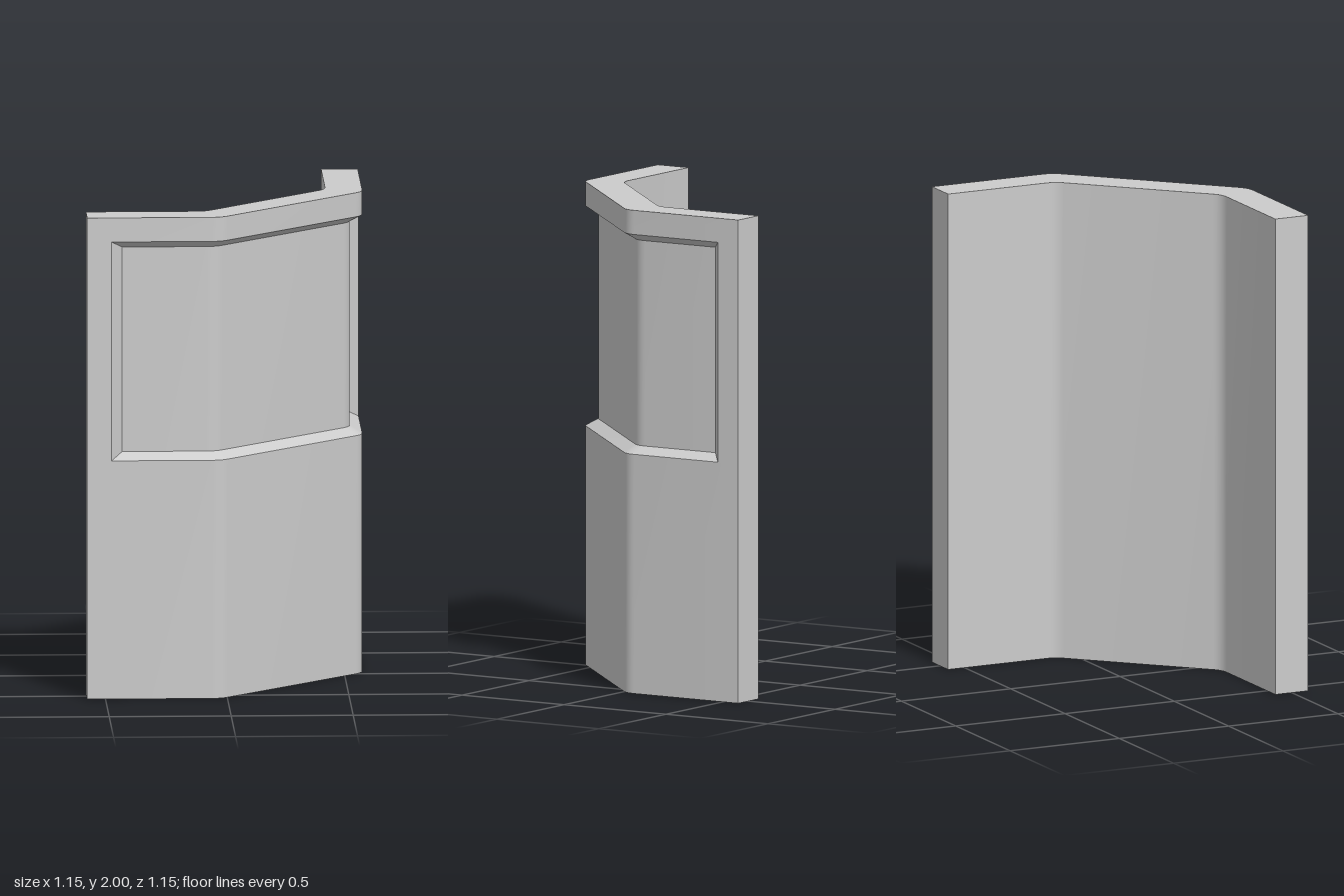
import * as THREE from 'three';
import { toCreasedNormals } from 'three/addons/utils/BufferGeometryUtils.js';

const OUT = 0.575, THICK = 0.15, HEIGHT = 2;
const DEPTH = 0.05; // recess depth
const FILLET = 0.04, STEPS = 6;

// Plan line of the bent wall, a distance d behind its outer face, ending at -end on x and z
function planLine(d, end) {
  const face = OUT - d;
  const corner = -0.025 - d * (Math.SQRT2 - 1);
  const k = FILLET * Math.SQRT1_2;
  const bend = new THREE.QuadraticBezierCurve(
    new THREE.Vector2(corner - FILLET, face),
    new THREE.Vector2(corner, face),
    new THREE.Vector2(corner + k, face - k)
  );
  const half = [new THREE.Vector2(-end, face), ...bend.getPoints(STEPS)];
  // The second half mirrors the first across the diagonal
  const other = half.map(p => new THREE.Vector2(p.y, p.x)).reverse();
  return [...half, ...other];
}

const lift = (line, y) => line.map(p => new THREE.Vector3(p.x, y, p.y));
const first = a => a[0];
const last = a => a[a.length - 1];

// Surface made of strips, each between a lower and an upper row of points
function surface(name, strips, material) {
  const pos = [];
  for (const [a, b] of strips) {
    for (let i = 0; i < a.length - 1; i++) {
      for (const p of [a[i], a[i + 1], b[i + 1], a[i], b[i + 1], b[i]]) pos.push(p.x, p.y, p.z);
    }
  }
  const geometry = new THREE.BufferGeometry();
  geometry.setAttribute('position', new THREE.Float32BufferAttribute(pos, 3));
  const mesh = new THREE.Mesh(toCreasedNormals(geometry, 0.4), material);
  mesh.name = name;
  return mesh;
}

export function createModel() {
  const group = new THREE.Group();
  group.name = 'bentWallPanel';
  const material = new THREE.MeshStandardMaterial({ color: 0xcccccc });
  const add = (name, ...strips) => group.add(surface(name, strips, material));

  const outer = planLine(0, OUT);
  const back = planLine(THICK, OUT);
  const rim = planLine(0, 0.475);
  const floor = planLine(DEPTH, 0.43);

  // Heights of the recess opening and of its floor
  const rimLow = 0.99, rimHigh = 1.9, floorLow = 1.02, floorHigh = 1.87;
  const front0 = lift(outer, 0), front1 = lift(outer, HEIGHT);
  const back0 = lift(back, 0), back1 = lift(back, HEIGHT);
  const outerA = lift(outer, rimLow), outerB = lift(outer, rimHigh);
  const rimA = lift(rim, rimLow), rimB = lift(rim, rimHigh);
  const floorA = lift(floor, floorLow), floorB = lift(floor, floorHigh);

  // Outer face, framing the recess
  add('outerFace',
    [front0, outerA],
    [outerB, front1],
    [[first(outerA), first(rimA)], [first(outerB), first(rimB)]],
    [[last(rimA), last(outerA)], [last(rimB), last(outerB)]]);

  // Sloped border of the recess
  add('recessBevel',
    [rimA, floorA],
    [floorB, rimB],
    [[first(rimA), first(floorA)], [first(rimB), first(floorB)]],
    [[last(floorA), last(rimA)], [last(floorB), last(rimB)]]);

  add('recessFloor', [floorA, floorB]);
  add('innerFace', [[...back0].reverse(), [...back1].reverse()]);
  add('topEdge', [front1, back1]);
  add('bottomEdge', [back0, front0]);

  // Vertical ends of the wall
  add('rightEnd', [[first(back0), first(front0)], [first(back1), first(front1)]]);
  add('leftEnd', [[last(front0), last(back0)], [last(front1), last(back1)]]);

  return group;
}
